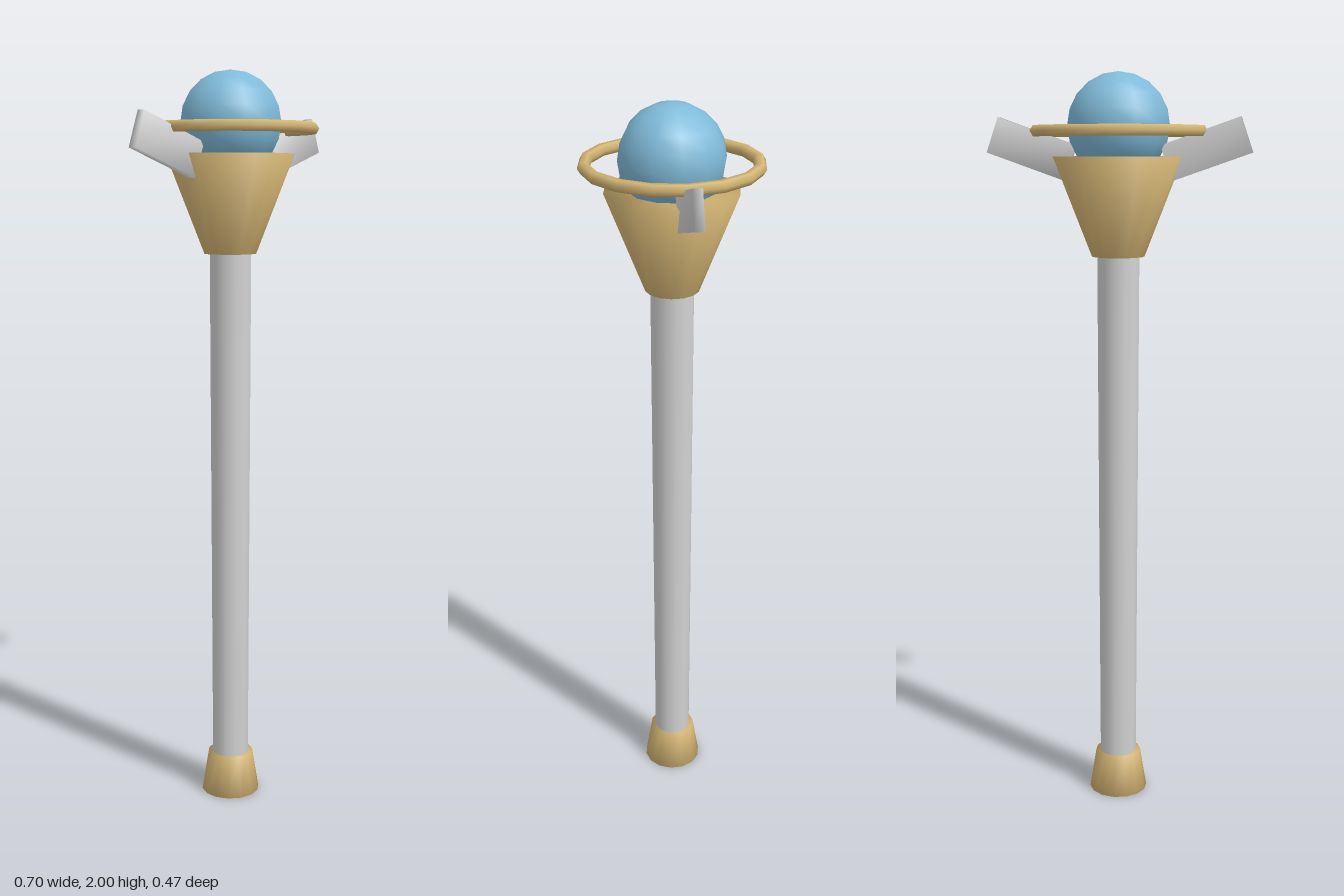
import * as THREE from 'three';
import { mergeVertices } from 'three/addons/utils/BufferGeometryUtils.js';

// Weld all corners so shading flows smoothly across every edge
function soften(geometry) {
  geometry.deleteAttribute('uv');
  geometry.deleteAttribute('normal');
  const welded = mergeVertices(geometry, 1e-4);
  welded.computeVertexNormals();
  return welded;
}

export function createModel() {
  const group = new THREE.Group();
  group.name = 'staff';

  const material = (name, color) => {
    const m = new THREE.MeshStandardMaterial({ color });
    m.name = name;
    return m;
  };
  const gold = material('gold', 0xd4b574);
  const silver = material('silver', 0xd2d2d2);
  const blue = material('blue', 0x7fbad8);

  const add = (name, geometry, mat, x, y) => {
    const mesh = new THREE.Mesh(soften(geometry), mat);
    mesh.name = name;
    mesh.position.set(x, y, 0);
    group.add(mesh);
    return mesh;
  };
  // Tapered round section standing between two heights
  const taper = (name, mat, rTop, rBottom, y0, y1, sides) =>
    add(name, new THREE.CylinderGeometry(rTop, rBottom, y1 - y0, sides), mat, 0, (y0 + y1) / 2);

  // Foot, shaft and flared head
  taper('foot', gold, 0.063, 0.081, 0, 0.113, 14);
  taper('shaft', silver, 0.057, 0.051, 0.06, 1.56, 12);
  taper('cup', gold, 0.172, 0.07, 1.525, 1.785, 14);

  // Orb resting in the cup, with a floating ring around it
  add('orb', new THREE.SphereGeometry(0.136, 12, 10), blue, 0, 1.864);
  const ring = add('ring', new THREE.TorusGeometry(0.218, 0.016, 6, 16), gold, 0, 1.85);
  ring.rotation.x = Math.PI / 2;

  // Raised side fins, tilted outward
  for (const side of [1, -1]) {
    const fin = add(side > 0 ? 'leftFin' : 'rightFin',
      new THREE.BoxGeometry(0.22, 0.096, 0.025), silver, side * 0.232, 1.804);
    fin.rotation.z = side * 0.335;
  }

  return group;
}
